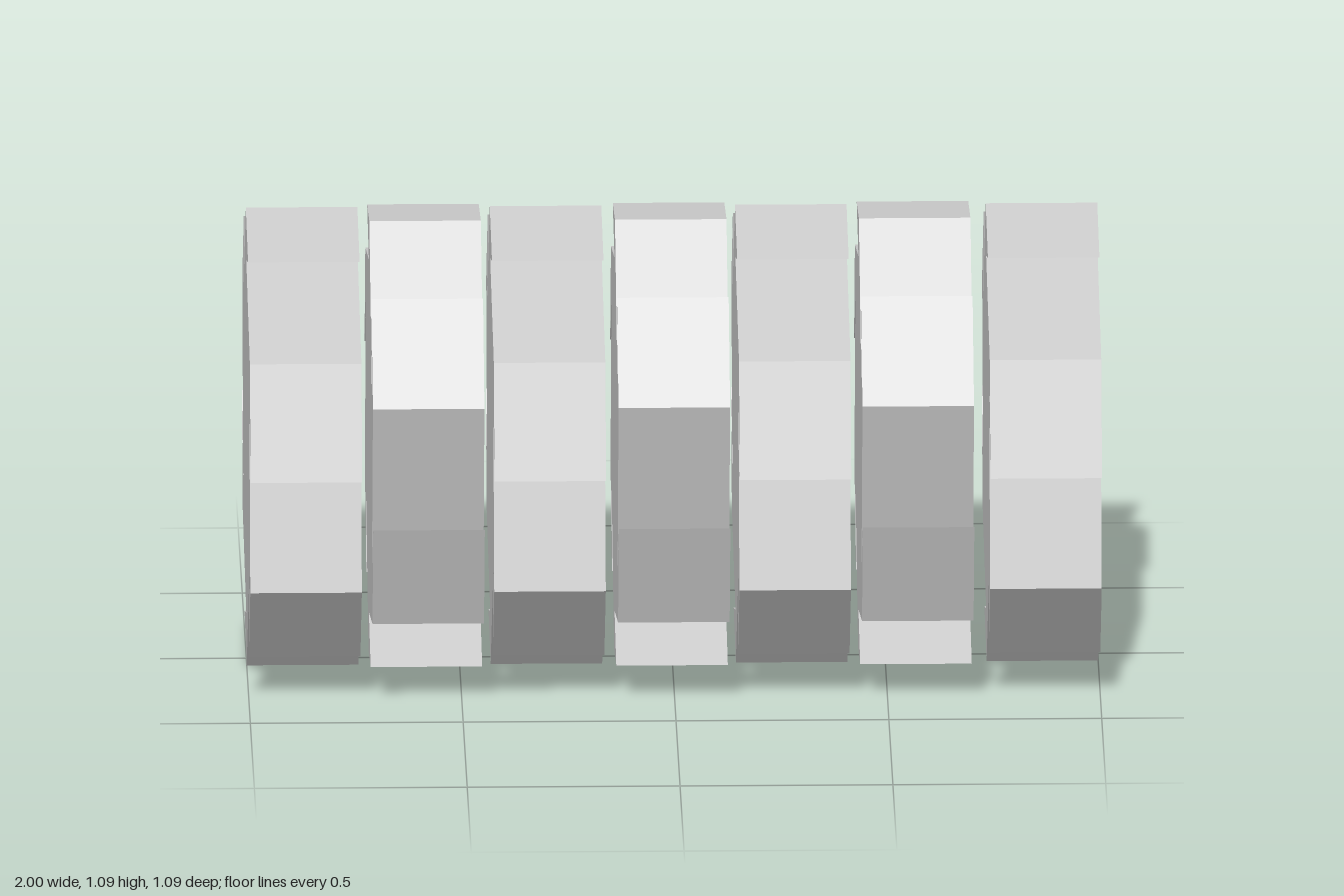
import * as THREE from 'three';

const RADIUS_Y = 0.547; // half the overall height
const WIDTH = 0.262;    // thickness of one wheel

// Six hooked teeth around the wheel; dir = -1 mirrors the hooks
function wheelShape(dir) {
  const tooth = [[0.055, 0.547], [-0.22, 0.5], [0, 0.435]]; // crown, hook tip, notch
  const points = [];
  for (let i = 0; i < 6; i++) {
    for (const [u, v] of tooth) {
      const p = new THREE.Vector2(u, v).rotateAround(new THREE.Vector2(), i * Math.PI / 3);
      p.x *= dir;
      points.push(p);
    }
  }
  return new THREE.Shape(points);
}

// Extruded along the x axis, starting at x = 0
function wheelGeometry(dir) {
  const geometry = new THREE.ExtrudeGeometry(wheelShape(dir), { depth: WIDTH, bevelEnabled: false });
  return geometry.rotateY(Math.PI / 2);
}

export function createModel() {
  const group = new THREE.Group();
  group.name = 'toothedRoller';
  const material = new THREE.MeshStandardMaterial({ color: 0xcccccc, flatShading: true });
  const geometries = [wheelGeometry(1), wheelGeometry(-1)];

  // Seven separate wheels in a row, hooks alternating in direction
  const starts = [-1, -0.712, -0.427, -0.135, 0.149, 0.438, 0.738];
  starts.forEach((x, i) => {
    const wheel = new THREE.Mesh(geometries[i % 2], material);
    wheel.name = (i % 2 ? 'reverseToothedWheel' : 'toothedWheel') + (i + 1);
    wheel.position.set(x, RADIUS_Y, 0);
    group.add(wheel);
  });
  return group;
}
